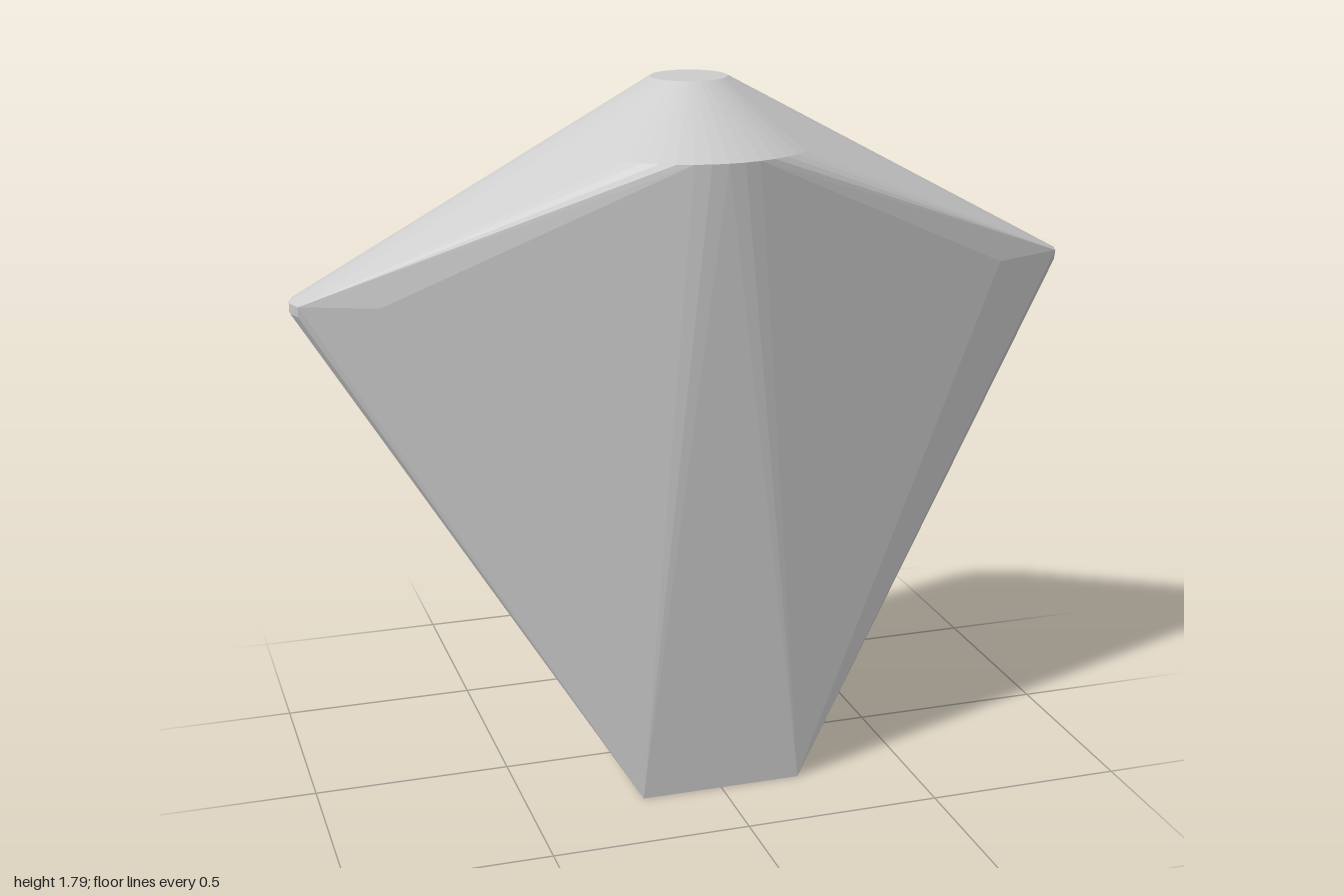
import * as THREE from 'three';
import { ConvexGeometry } from 'three/addons/geometries/ConvexGeometry.js';

export function createModel() {
  const group = new THREE.Group();
  const grey = new THREE.MeshStandardMaterial({ color: 0xcccccc });
  grey.name = 'light grey';

  const points = [];
  const add = (x, y, z) => points.push(new THREE.Vector3(x, y, z));
  const mirrored = (x, y, z) => { add(x, y, z); add(-x, y, z); };
  const ring = (radius, y, count) => {
    for (let i = 0; i < count; i++) {
      const a = (i / count) * Math.PI * 2;
      add(Math.sin(a) * radius, y, Math.cos(a) * radius);
    }
  };

  // Flat round crown and the wider shoulder ring below it
  ring(0.095, 1.79, 40);
  ring(0.318, 1.63, 48);

  // Rounded side tips, slightly thick
  for (const [x, z] of [[0.965, -0.058], [0.985, -0.042], [0.998, 0], [0.998, 0.025], [0.985, 0.062]]) {
    mirrored(x, 1.298, z);
    mirrored(x, 1.272, z * 0.9);
  }

  // Front bevel corners
  mirrored(0.8, 1.295, 0.122);

  // Back kink
  mirrored(0.07, 0.62, -0.225);
  mirrored(0.2, 0.62, -0.19);

  // Foot, curving up towards the back
  for (const [y, z] of [[0, 0.28], [0, 0], [0.013, -0.05], [0.04, -0.12]]) mirrored(0.208, y, z);

  const body = new THREE.Mesh(new ConvexGeometry(points), grey);
  body.name = 'facetedBody';
  group.add(body);
  return group;
}
